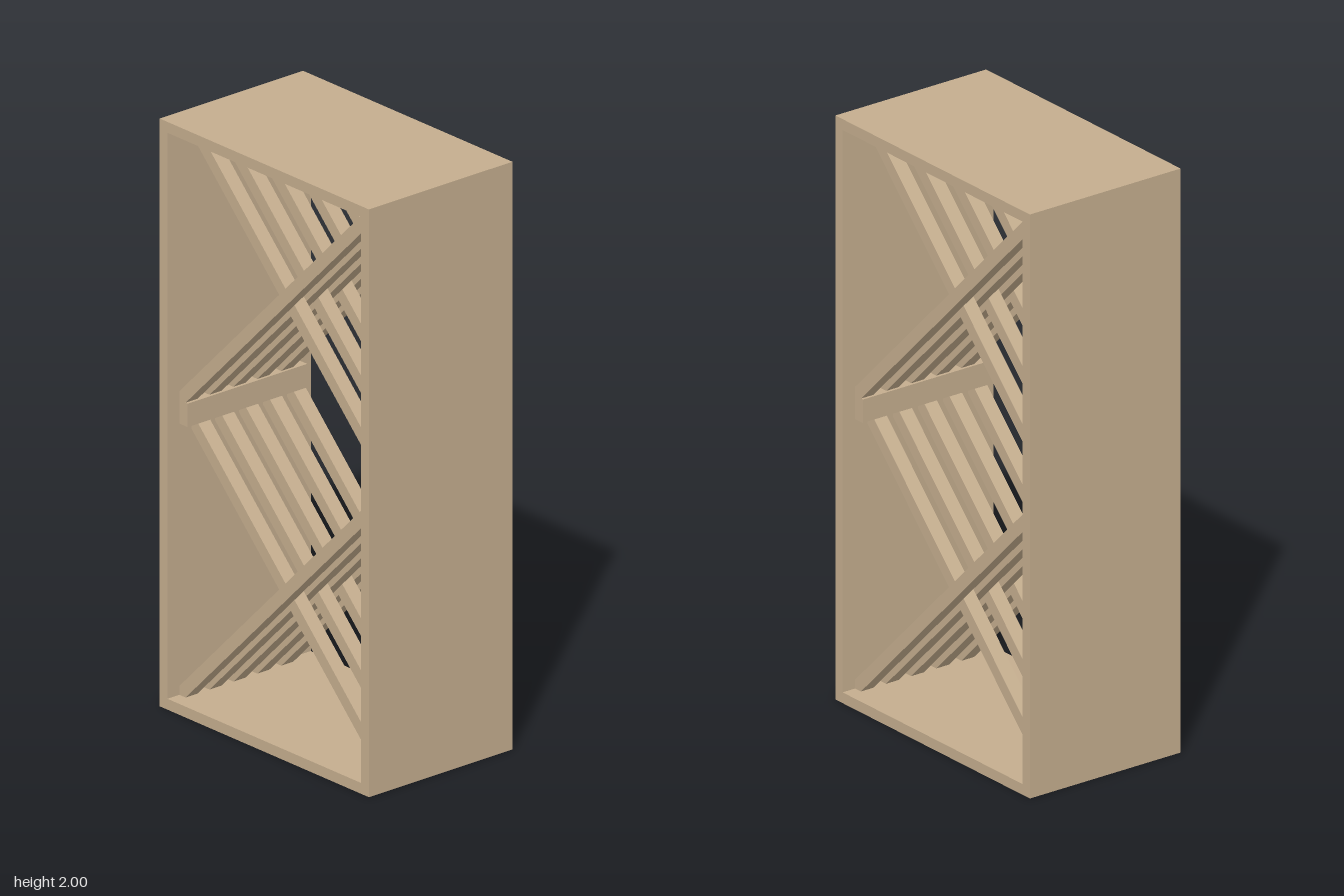
import * as THREE from 'three';

const W = 1, H = 2, D = 0.6, T = 0.037;   // outer size and panel thickness
const CLEAT_W = 0.04, CLEAT_H = 0.08, RACK_D = 0.5;
const SLAT_D = 0.05, SLATS = 10, CUT = 0.03;

export function createModel() {
  const model = new THREE.Group();
  const wood = new THREE.MeshStandardMaterial({ color: 0xc4ad8e });
  wood.name = 'light wood';

  const add = (name, geometry, x, y, z = 0) => {
    const mesh = new THREE.Mesh(geometry, wood);
    mesh.name = name;
    mesh.position.set(x, y, z);
    model.add(mesh);
  };

  // Outer case, open at front and back
  add('bottomPanel', new THREE.BoxGeometry(W, T, D), 0, T / 2);
  add('topPanel', new THREE.BoxGeometry(W, T, D), 0, H - T / 2);
  for (const [name, s] of [['left', 1], ['right', -1]]) {
    add(name + 'Panel', new THREE.BoxGeometry(T, H - 2 * T, D), s * (W - T) / 2, H / 2);
    // Cleat holding the slat ends halfway up
    add(name + 'Cleat', new THREE.BoxGeometry(CLEAT_W, CLEAT_H, RACK_D),
      s * (W / 2 - T - CLEAT_W / 2), H / 2);
  }

  // Diagonal slat with ends cut to fit the corners of a bay; s = 1 rises to +x
  const hw = W / 2 - T;
  const hh = (H / 2 - T - CLEAT_H / 2) / 2;
  const slatGeometry = (s) => {
    const points = [
      [-hw, -hh], [-hw + CUT, -hh], [hw, hh - CUT],
      [hw, hh], [hw - CUT, hh], [-hw, -hh + CUT],
    ].map(([x, y]) => new THREE.Vector2(s * x, y));
    return new THREE.ExtrudeGeometry(new THREE.Shape(points), { depth: SLAT_D, bevelEnabled: false })
      .translate(0, 0, -SLAT_D / 2);
  };
  const rising = slatGeometry(1);
  const falling = slatGeometry(-1);

  // Two bays of slats, alternating in direction from front to back
  for (const [bay, y] of [['lower', T + hh], ['upper', H - T - hh]]) {
    for (let i = 0; i < SLATS; i++) {
      const z = RACK_D / 2 - SLAT_D * (i + 0.5);
      const even = i % 2 === 0;
      add(bay + (even ? 'RisingSlat' : 'FallingSlat'), even ? rising : falling, 0, y, z);
    }
  }
  return model;
}
